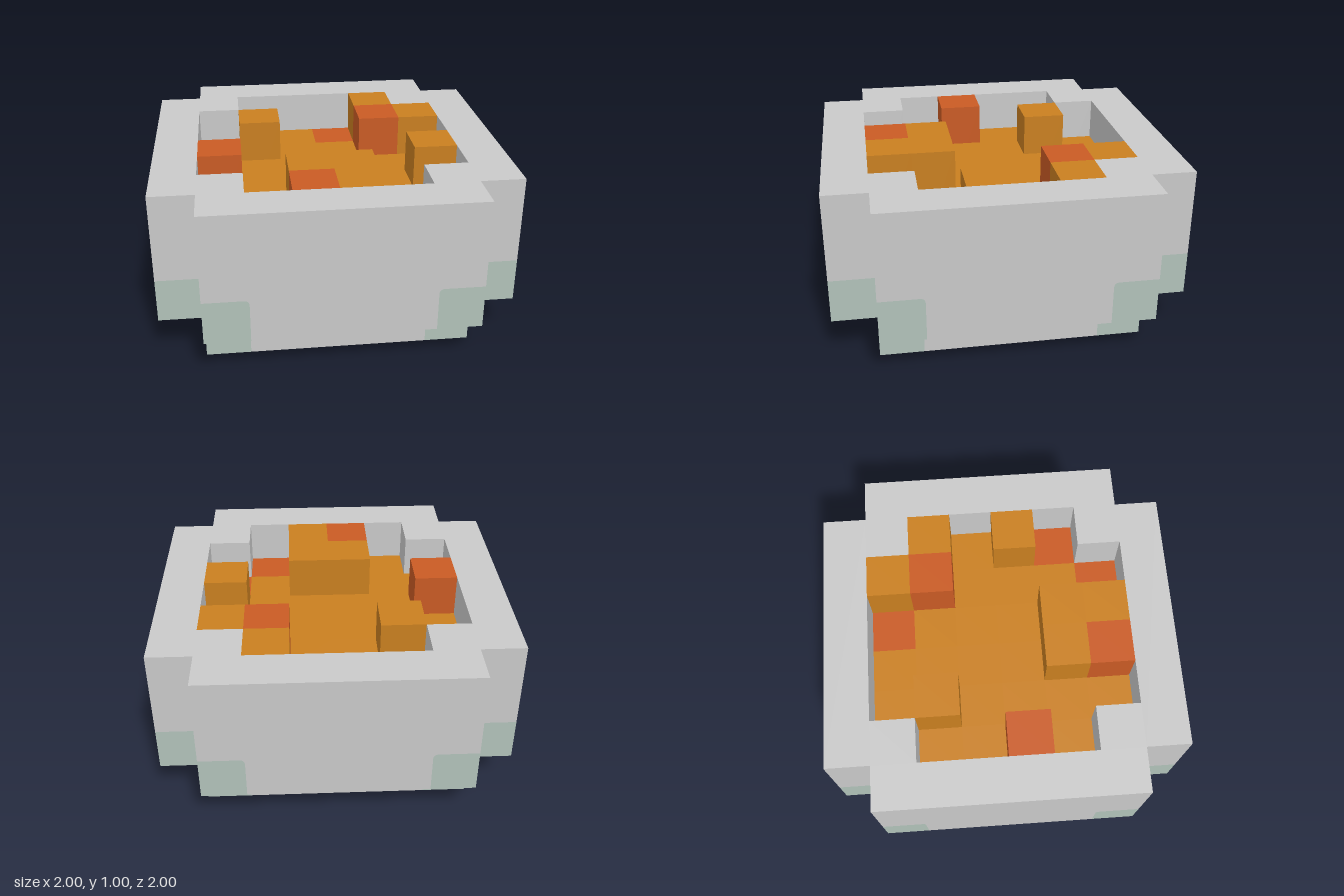
import * as THREE from 'three';
import { mergeGeometries } from 'three/addons/utils/BufferGeometryUtils.js';

const C = 0.25; // block size
const R = 0.03; // rounding of the tinted corners

const mat = (name, color) => {
  const m = new THREE.MeshStandardMaterial({ color });
  m.name = name;
  return m;
};

const box = (x0, x1, y0, y1, z0, z1) =>
  new THREE.BoxGeometry(x1 - x0, y1 - y0, z1 - z0)
    .translate((x0 + x1) / 2, (y0 + y1) / 2, (z0 + z1) / 2);

const extrude = (shape, depth) =>
  new THREE.ExtrudeGeometry(shape, { depth, bevelEnabled: false, curveSegments: 6 });

// Square x 0.5..0.75, y 0.25..0.5 with its inner upper corner rounded
function cornerShape() {
  const s = new THREE.Shape();
  s.moveTo(0.5, 0.25);
  s.lineTo(0.75, 0.25);
  s.lineTo(0.75, 0.5);
  s.lineTo(0.5 + R, 0.5);
  s.quadraticCurveTo(0.5, 0.5, 0.5, 0.5 - R);
  s.closePath();
  return s;
}

// Wall outline with both lower corners left out for the tinted blocks
function wallShape() {
  const s = new THREE.Shape();
  s.moveTo(-0.5, 0.25);
  s.lineTo(0.5, 0.25);
  s.lineTo(0.5, 0.5 - R);
  s.quadraticCurveTo(0.5, 0.5, 0.5 + R, 0.5);
  s.lineTo(0.75, 0.5);
  s.lineTo(0.75, 1);
  s.lineTo(-0.75, 1);
  s.lineTo(-0.75, 0.5);
  s.lineTo(-0.5 - R, 0.5);
  s.quadraticCurveTo(-0.5, 0.5, -0.5, 0.5 - R);
  s.closePath();
  return s;
}

// Base plan: a square with its four corners left out
function baseShape() {
  const s = new THREE.Shape();
  for (let i = 0; i < 4; i++) {
    const a = (i * Math.PI) / 2, c = Math.cos(a), n = Math.sin(a);
    const p = (x, y) => [x * c - y * n, x * n + y * c];
    if (i) s.lineTo(...p(0.75, 0.5)); else s.moveTo(0.75, 0.5);
    s.lineTo(...p(0.5 + R, 0.5));
    s.quadraticCurveTo(...p(0.5, 0.5), ...p(0.5, 0.5 + R));
    s.lineTo(...p(0.5, 0.75));
  }
  s.closePath();
  return s;
}

// Contents seen from above: o orange, r red, capitals stand one block higher
const CONTENTS = [
  '.oorO.',
  'oOooRO',
  'oooooo',
  'RooooO',
  'ooOOor',
  '.oROr.',
];

export function createModel() {
  const stone = mat('grey', 0xc9c9c9);
  const moss = mat('pale green', 0xb1c2b9);
  const orange = mat('orange', 0xc97f20);
  const red = mat('red orange', 0xc95b24);

  const model = new THREE.Group();
  model.name = 'blockBowl';
  const add = (name, geo, material, parent = model) => {
    const m = new THREE.Mesh(geo, material);
    m.name = name;
    parent.add(m);
  };

  // Base slab, lying flat
  add('base', extrude(baseShape(), C).rotateX(-Math.PI / 2), stone);

  // Base corner: plan shape with the rounding toward the centre
  const baseCorner = new THREE.Shape();
  baseCorner.moveTo(0.75, 0.5);
  baseCorner.lineTo(0.75, 0.75);
  baseCorner.lineTo(0.5, 0.75);
  baseCorner.lineTo(0.5, 0.5 + R);
  baseCorner.quadraticCurveTo(0.5, 0.5, 0.5 + R, 0.5);
  baseCorner.closePath();

  // Four identical sides
  for (let i = 0; i < 4; i++) {
    const side = new THREE.Group();
    side.name = 'side' + (i + 1);
    side.rotation.y = (i * Math.PI) / 2;
    model.add(side);

    add('wall', extrude(wallShape(), C).translate(0, 0, 0.75), stone, side);
    // Pillar between two walls, with its lowest block tinted where it shows outside
    add('pillar', box(0.5, 0.75, 0.25, 1, 0.5, 0.75), stone, side);
    add('baseCorner', extrude(baseCorner, C).rotateX(-Math.PI / 2), moss, side);

    const right = extrude(cornerShape(), C).translate(0, 0, 0.75);
    const left = extrude(cornerShape(), C).translate(0, 0, -1).rotateY(Math.PI);
    add('wallCorners', mergeGeometries([right, left]), moss, side);
  }

  // Contents, one mesh per colour
  const blocks = { o: [], r: [] };
  CONTENTS.forEach((row, j) => [...row].forEach((cell, i) => {
    if (cell === '.') return;
    const key = cell.toLowerCase();
    const x = -0.75 + i * C, z = -0.75 + j * C;
    blocks[key].push(box(x, x + C, 0.25, cell === key ? 0.75 : 1, z, z + C));
  }));
  add('orangeContents', mergeGeometries(blocks.o), orange);
  add('redContents', mergeGeometries(blocks.r), red);

  return model;
}
